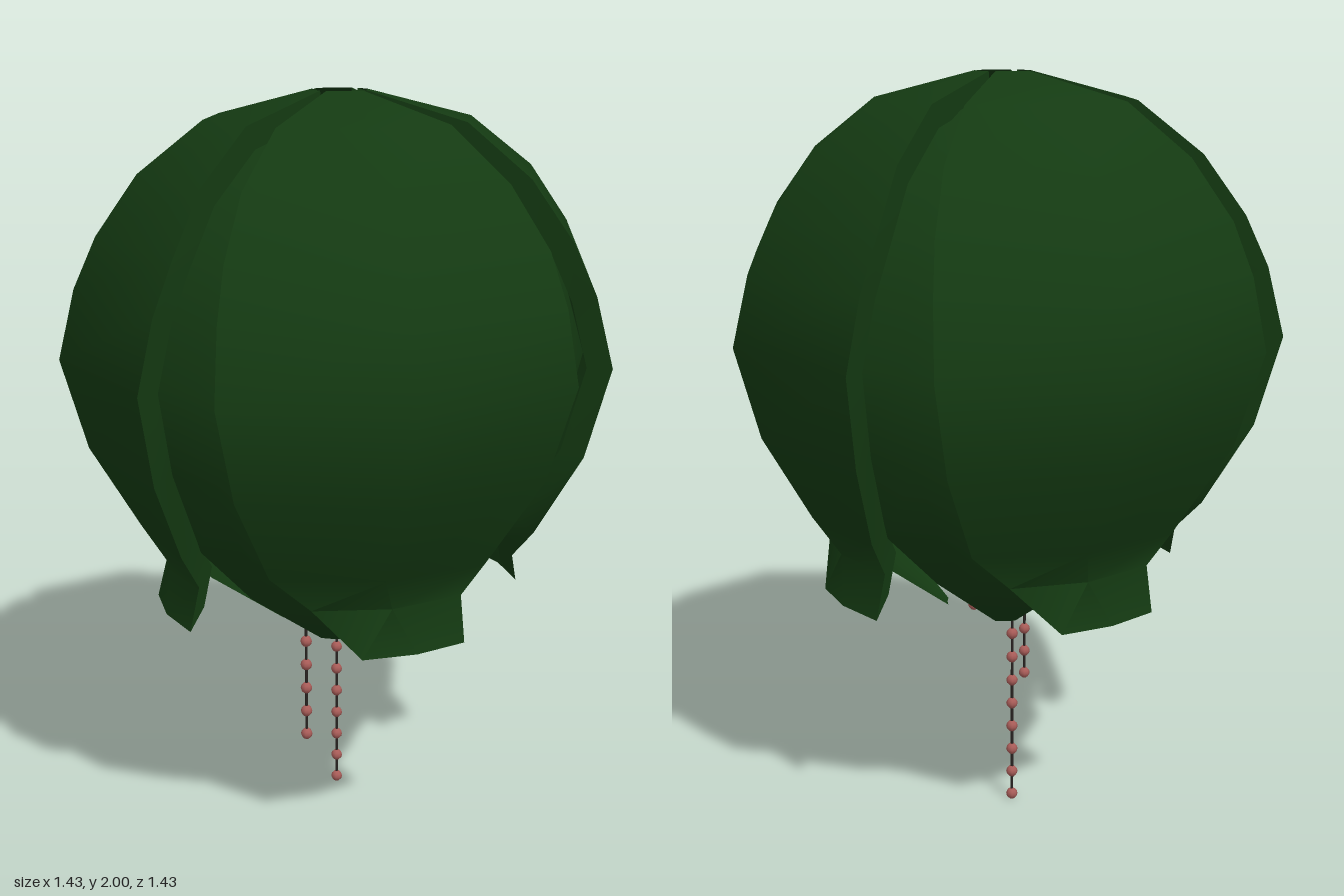
import * as THREE from 'three';
import { mergeVertices, toCreasedNormals } from 'three/addons/utils/BufferGeometryUtils.js';

const green = new THREE.MeshStandardMaterial({ color: 0x143a12, side: THREE.DoubleSide });
const pink = new THREE.MeshStandardMaterial({ color: 0xa85c58 });
const dark = new THREE.MeshStandardMaterial({ color: 0x2a2422 });

// Rows of [height, radius, start angle, end angle]; angles in degrees from +z towards +x
const OUTER = [
  [2.0, 0.075, -62, 14], [1.93, 0.35, -62, 14], [1.8, 0.52, -62, 15], [1.65, 0.63, -61, 16],
  [1.52, 0.69, -60, 15], [1.34, 0.735, -59, 14], [1.1, 0.67, -58, 12], [0.87, 0.54, -55, 6],
  [0.77, 0.475, -45, 4], [0.65, 0.5, -30, 3],
];
const INNER = [
  [1.95, 0.075, -2, 92], [1.91, 0.22, -2, 92], [1.83, 0.38, -2, 92], [1.65, 0.55, -2, 92],
  [1.34, 0.64, -2, 92], [1.1, 0.585, -1, 91], [0.87, 0.475, 5, 85], [0.73, 0.37, 16, 74],
  [0.56, 0.155, 35, 55],
];

// Curved petal: a grid swept through the rows, optionally with edges folded inwards
function petalGeometry(rows, segments, lip) {
  const positions = [];
  const index = [];
  const cols = segments + 1 + (lip ? 2 : 0);
  for (const [y, r, a0, a1] of rows) {
    for (let j = 0; j < cols; j++) {
      const k = lip ? j - 1 : j;
      const t = Math.min(Math.max(k / segments, 0), 1);
      const a = THREE.MathUtils.degToRad(a0 + (a1 - a0) * t);
      const s = k < 0 || k > segments ? 0.91 : 1;
      positions.push(Math.sin(a) * r * s, 1.3 + (y - 1.3) * s, Math.cos(a) * r * s);
    }
  }
  for (let i = 0; i < rows.length - 1; i++) {
    for (let j = 0; j < cols - 1; j++) {
      const a = i * cols + j, b = a + cols;
      index.push(a, b, a + 1, a + 1, b, b + 1);
    }
  }
  const g = new THREE.BufferGeometry();
  g.setAttribute('position', new THREE.Float32BufferAttribute(positions, 3));
  g.setIndex(index);
  return toCreasedNormals(mergeVertices(g), THREE.MathUtils.degToRad(48));
}

// Hanging cord with evenly spaced beads
function beadString(x, z, bottom) {
  const group = new THREE.Group();
  group.name = 'beadString';
  const top = 1.7;
  const cord = new THREE.Mesh(new THREE.CylinderGeometry(0.004, 0.004, top - bottom, 5), dark);
  cord.name = 'cord';
  cord.position.set(x, (top + bottom) / 2, z);
  group.add(cord);
  const beadGeometry = new THREE.SphereGeometry(0.016, 8, 6);
  for (let y = bottom; y < 0.85; y += 0.069) {
    const bead = new THREE.Mesh(beadGeometry, pink);
    bead.name = 'bead';
    bead.position.set(x, y, z);
    group.add(bead);
  }
  return group;
}

export function createModel() {
  const model = new THREE.Group();
  model.name = 'hangingBlossom';

  // Two layers of four petals around the axis
  const outer = petalGeometry(OUTER, 2, true);
  const inner = petalGeometry(INNER, 4, false);
  for (let i = 0; i < 4; i++) {
    for (const [name, geometry] of [['outerPetal', outer], ['innerPetal', inner]]) {
      const petal = new THREE.Mesh(geometry, green);
      petal.name = name;
      petal.rotation.y = (i * Math.PI) / 2;
      model.add(petal);
    }
  }

  // Core seen through the opening at the top
  const core = new THREE.Mesh(new THREE.SphereGeometry(0.17, 12, 8), pink);
  core.name = 'core';
  core.scale.y = 0.5;
  core.position.y = 1.72;
  model.add(core);

  model.add(beadString(-0.16, 0.065, 0.275));
  model.add(beadString(0.02, 0.095, 0.53));
  model.add(beadString(0.05, -0.08, 0.016));
  return model;
}
